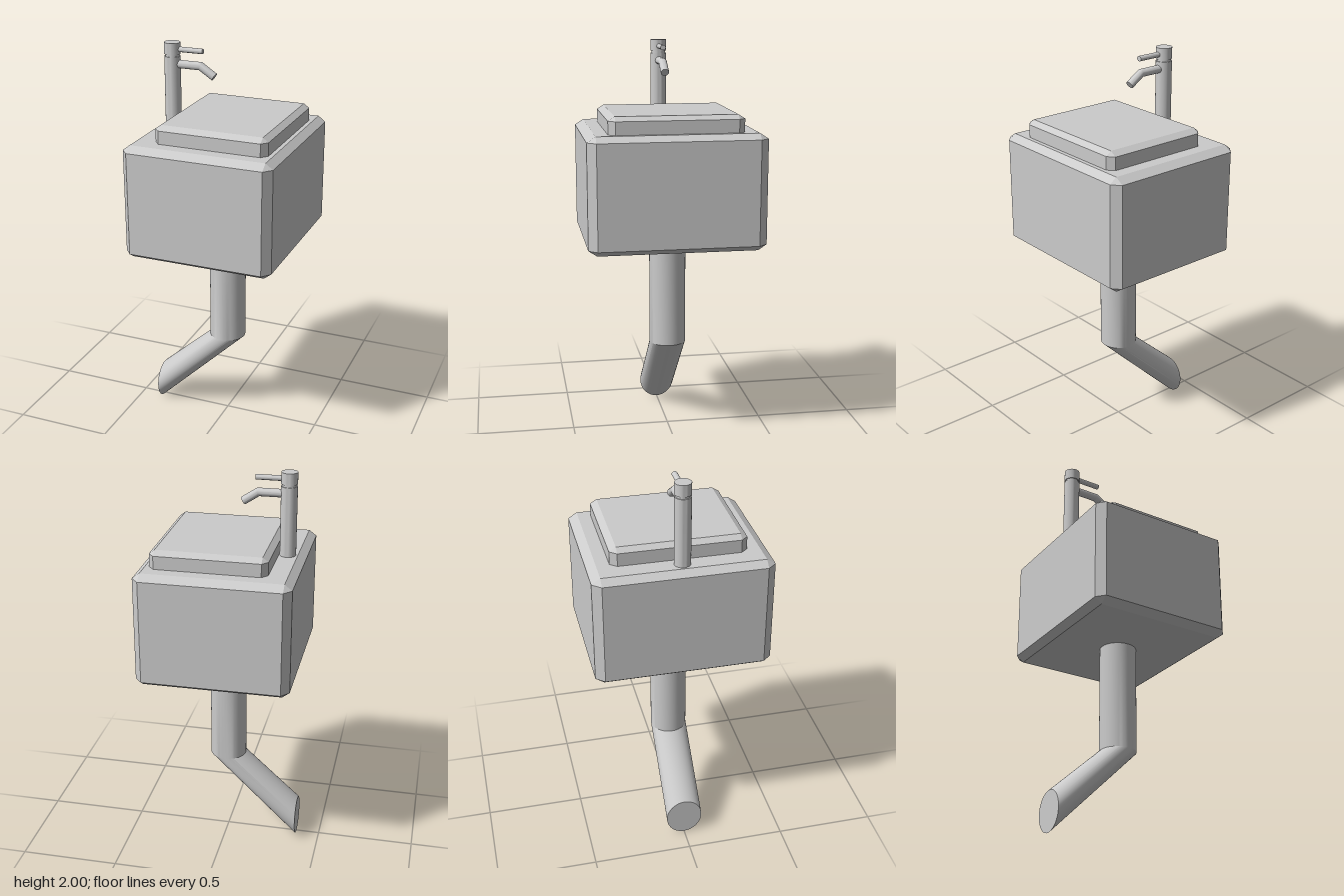
import * as THREE from 'three';
import { toCreasedNormals } from 'three/addons/utils/BufferGeometryUtils.js';
import { ConvexGeometry } from 'three/addons/geometries/ConvexGeometry.js';

const material = new THREE.MeshStandardMaterial({ color: 0xcccccc });

// Box with every edge and corner cut; half = half sizes, cut = chamfer per axis
function chamferedBox(half, cut) {
  const points = [];
  for (const sx of [-1, 1]) for (const sy of [-1, 1]) for (const sz of [-1, 1]) {
    const sign = [sx, sy, sz];
    for (let full = 0; full < 3; full++) {
      points.push(new THREE.Vector3(...sign.map((s, k) => s * (half[k] - (k === full ? 0 : cut[k])))));
    }
  }
  return new ConvexGeometry(points);
}

// Capped pipe in the xy plane; each ring is [centreX, centreY, radiusVectorX, radiusVectorY]
function pipe(rings, radiusZ, sides) {
  const position = [], index = [];
  for (const [x, y, ux, uy] of rings) {
    for (let j = 0; j < sides; j++) {
      const a = (j / sides) * Math.PI * 2, c = Math.cos(a);
      position.push(x + ux * c, y + uy * c, radiusZ * Math.sin(a));
    }
  }
  const last = rings.length - 1, startCentre = rings.length * sides;
  position.push(rings[0][0], rings[0][1], 0, rings[last][0], rings[last][1], 0);
  for (let j = 0; j < sides; j++) {
    const k = (j + 1) % sides;
    for (let i = 0; i < last; i++) {
      const p = i * sides, q = p + sides;
      index.push(p + j, p + k, q + j, p + k, q + k, q + j);
    }
    index.push(startCentre, k, j, startCentre + 1, last * sides + j, last * sides + k);
  }
  const geometry = new THREE.BufferGeometry();
  geometry.setAttribute('position', new THREE.Float32BufferAttribute(position, 3));
  geometry.setIndex(index);
  return toCreasedNormals(geometry, 0.4);
}

export function createModel() {
  const model = new THREE.Group();
  model.name = 'sink';
  const add = (name, geometry, x = 0, y = 0, z = 0, parent = model) => {
    const mesh = new THREE.Mesh(geometry, material);
    mesh.name = name;
    mesh.position.set(x, y, z);
    parent.add(mesh);
    return mesh;
  };

  // Cabinet and raised basin slab
  add('cabinet', chamferedBox([0.378, 0.287, 0.436], [0.037, 0.028, 0.043]), 0, 1.302, 0);
  add('basinSlab', chamferedBox([0.285, 0.065, 0.33], [0.028, 0.021, 0.033]), 0.035, 1.61, 0);

  // Drain: vertical pipe, then a slanted run cut off vertically at the wall
  add('drainPipe', pipe([
    [0, 1.03, 0.093, 0],
    [0, 0.46, 0.093, 0],
    [-0.378, 0.102, 0, -0.102],
  ], 0.093, 40));

  // Tap column with a narrow groove under its head
  const tap = new THREE.Group();
  tap.name = 'tap';
  model.add(tap);
  const r = 0.04, g = 0.035;
  const profile = [[0, 1.58], [r, 1.58], [r, 1.932], [g, 1.932], [g, 1.943], [r, 1.943], [r, 2], [0, 2]]
    .map(([x, y]) => new THREE.Vector2(x, y));
  add('tapColumn', toCreasedNormals(new THREE.LatheGeometry(profile, 32), 0.5), -0.292, 0, 0, tap);

  // Spout with a mitred bend, and the lever above it
  add('spout', pipe([
    [-0.285, 1.894, 0, 0.02],
    [-0.143, 1.894, 0.006, 0.02],
    [-0.071, 1.847, 0.011, 0.017],
  ], 0.021, 24), 0, 0, 0, tap);
  add('lever', pipe([
    [-0.285, 1.967, 0, 0.013],
    [-0.13, 1.967, 0, 0.013],
  ], 0.014, 20), 0, 0, 0, tap);

  return model;
}
